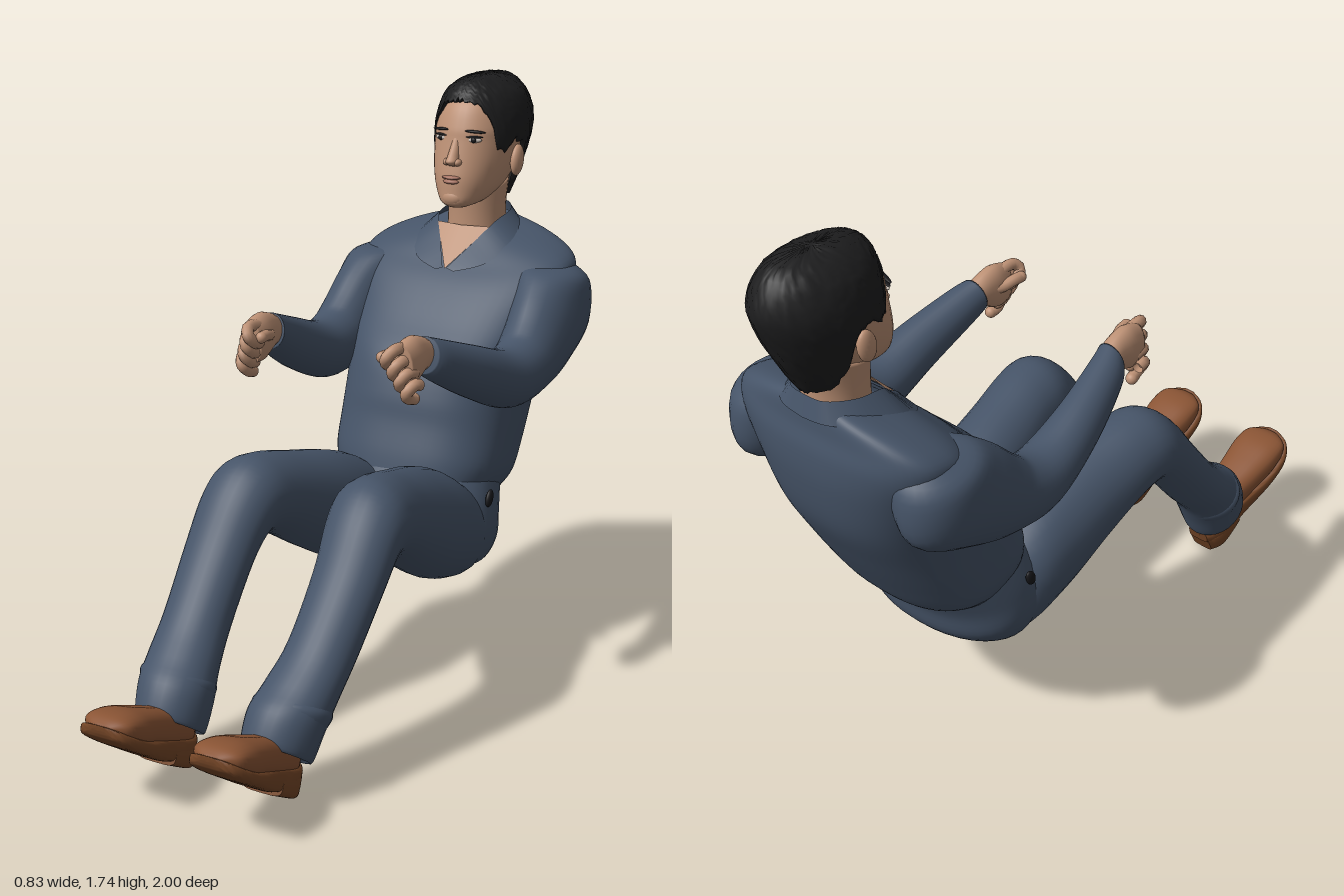
import * as THREE from 'three';
import { toCreasedNormals } from 'three/addons/utils/BufferGeometryUtils.js';

const mat = (name, color, side = THREE.FrontSide) => {
  const m = new THREE.MeshStandardMaterial({ color, side });
  m.name = name;
  return m;
};

// Catmull-Rom interpolation of rows of numbers
function smooth(rows, n) {
  const out = [], last = rows.length - 1;
  for (let i = 0; i < last; i++) {
    const [a, b, c, d] = [rows[Math.max(i - 1, 0)], rows[i], rows[i + 1], rows[Math.min(i + 2, last)]];
    for (let k = 0; k < n; k++) {
      const t = k / n;
      out.push(b.map((v, j) => {
        const cubic = 3 * (v - c[j]) + d[j] - a[j];
        const square = 2 * a[j] - 5 * v + 4 * c[j] - d[j];
        return v + 0.5 * t * (c[j] - a[j] + t * (square + t * cubic));
      }));
    }
  }
  out.push(rows[last]);
  return out;
}

// Indices for a grid of rings; wrap joins the last column to the first
function gridIndex(rings, cols, wrap) {
  const idx = [];
  for (let i = 0; i < rings - 1; i++) for (let j = 0; j < (wrap ? cols : cols - 1); j++) {
    const k = (j + 1) % cols, a = i * cols, b = a + cols;
    idx.push(a + j, a + k, b + k, a + j, b + k, b + j);
  }
  return idx;
}

function surface(pos, idx) {
  const g = new THREE.BufferGeometry();
  g.setAttribute('position', new THREE.Float32BufferAttribute(pos, 3));
  g.setIndex(idx);
  g.computeVertexNormals();
  return g;
}

// Closed loft. Row: centre x, half width, front edge z and y, back edge z and y
function loft(rows, { n = 5, seg = 28, power = 1, side = 1, crease = 0 } = {}) {
  const rings = smooth(rows, n), pos = [];
  const p = v => Math.sign(v) * Math.abs(v) ** power;
  for (const [x, w, zf, yf, zb, yb] of rings) for (let j = 0; j < seg; j++) {
    const a = j / seg * Math.PI * 2, c = p(Math.cos(a)), s = p(Math.sin(a));
    pos.push(side * x + w * c, (yf + yb) / 2 + (yf - yb) / 2 * s, (zf + zb) / 2 + (zf - zb) / 2 * s);
  }
  const idx = gridIndex(rings.length, seg, true), end = rings.length * seg;
  for (const r of [rings[0], rings.at(-1)]) pos.push(side * r[0], (r[3] + r[5]) / 2, (r[2] + r[4]) / 2);
  for (let j = 0; j < seg; j++) {
    const k = (j + 1) % seg, b = end - seg;
    idx.push(end, k, j, end + 1, b + j, b + k);
  }
  // Turn the faces outward when the loft runs the other way
  let vol = 0;
  const v = i => new THREE.Vector3().fromArray(pos, idx[i] * 3);
  for (let i = 0; i < idx.length; i += 3) vol += v(i).dot(v(i + 1).cross(v(i + 2)));
  if (vol < 0) idx.reverse();
  const g = surface(pos, idx);
  return crease ? toCreasedNormals(g, crease) : g;
}

export function createModel() {
  const root = new THREE.Group();
  root.name = 'seatedMan';
  const cloth = mat('blue cloth', 0x465468, THREE.DoubleSide), skin = mat('skin', 0xbd9175, THREE.DoubleSide);
  const hairMat = mat('black hair', 0x1d1d1e, THREE.DoubleSide), leather = mat('brown leather', 0x8b5535);
  const soleMat = mat('brown sole', 0x784828), lipMat = mat('lips', 0xa57362);
  const white = mat('eye white', 0xc9c0b8), dark = mat('dark detail', 0x17171a);
  const add = (name, g, m) => {
    const o = new THREE.Mesh(g, m);
    o.name = name;
    root.add(o);
    return o;
  };
  const blob = (name, m, x, y, z, sx, sy, sz) => {
    const o = add(name, new THREE.SphereGeometry(1, 20, 14), m);
    o.position.set(x, y, z);
    o.scale.set(sx, sy, sz);
    return o;
  };

  // Shirt body and seat of the trousers
  add('shirt', loft([
    [0, .245, -.23, .62, -.585, .51], [0, .272, -.245, .68, -.645, .56], [0, .278, -.275, .77, -.71, .66],
    [0, .28, -.295, .85, -.785, .79], [0, .29, -.34, .95, -.855, .93], [0, .318, -.43, 1.04, -.885, 1.07],
    [0, .345, -.525, 1.14, -.888, 1.17], [0, .33, -.59, 1.195, -.875, 1.235], [0, .24, -.635, 1.235, -.87, 1.285],
    [0, .1, -.68, 1.27, -.86, 1.32]], { seg: 56, power: .8 }), cloth);
  add('trouserSeat', loft([
    [0, .25, -.25, .66, -.6, .56], [0, .275, -.2, .58, -.545, .46], [0, .28, -.18, .5, -.52, .37],
    [0, .25, -.2, .41, -.45, .315], [0, .17, -.26, .35, -.36, .3]], { seg: 40, power: .9 }), cloth);
  blob('beltBuckle', dark, 0, .585, -.195, .028, .022, .012);

  // Skin in the open neck and the neck itself
  add('openNeck', surface([0, 1.18, -.557, .09, 1.295, -.68, 0, 1.295, -.662, -.09, 1.295, -.68],
    [0, 1, 2, 0, 2, 3]), skin);
  add('neck', loft([[0, .09, -.675, 1.24, -.86, 1.29], [0, .088, -.675, 1.32, -.86, 1.36],
    [0, .092, -.67, 1.4, -.88, 1.45]]), skin);

  for (const side of [1, -1]) {
    const tag = side > 0 ? 'left' : 'right';
    const part = (name, rows, m, opt = {}) => add(tag + name, loft(rows, { side, ...opt }), m);

    // Collar half, a strip from the neckline point round to the nape
    const strip = smooth([
      [.006, 1.183, -.555, .03, 1.175, -.555], [.055, 1.25, -.632, .115, 1.2, -.592],
      [.097, 1.31, -.7, .165, 1.25, -.685], [.102, 1.33, -.79, .15, 1.275, -.8],
      [.06, 1.34, -.862, .085, 1.285, -.876], [0, 1.34, -.872, 0, 1.28, -.888]], 5);
    add(tag + 'Collar', surface(strip.flatMap(r => [side * r[0], r[1], r[2], side * r[3], r[4], r[5]]),
      gridIndex(strip.length, 2, false)), cloth);

    // Sleeve
    part('Sleeve', [
      [.25, .08, -.66, 1.2, -.8, 1.2], [.286, .108, -.59, 1.19, -.845, 1.13], [.303, .108, -.52, 1.14, -.825, .99],
      [.312, .1, -.45, 1.07, -.68, .91], [.315, .092, -.4, 1.035, -.53, .86], [.31, .086, -.32, 1.03, -.35, .845],
      [.295, .07, -.18, 1.075, -.15, .925], [.265, .055, -.03, 1.125, .005, 1.01],
      [.25, .046, .02, 1.142, .04, 1.04]], cloth);

    // Hand with curled fingers and thumb
    part('Palm', [[.248, .034, 0, 1.125, .02, 1.05], [.244, .036, .05, 1.15, .05, 1.045],
      [.243, .04, .1, 1.16, .1, 1.02], [.243, .034, .15, 1.145, .14, 1.02]], skin, { seg: 18 });
    const finger = (name, pts, r) => {
      const curve = new THREE.CatmullRomCurve3(pts.map(([x, y, z]) => new THREE.Vector3(side * x, y, z)));
      add(tag + name, new THREE.TubeGeometry(curve, 12, r, 10), skin);
      const tip = pts.at(-1);
      blob(tag + name + 'Tip', skin, side * tip[0], tip[1], tip[2], r, r, r);
    };
    for (let i = 0; i < 4; i++) {
      const x = .225 + i * .015, y = 1.13 - i * .033, z = .185 - i * .012;
      finger('Finger' + (i + 1), [[x + .01, y, .11], [x + .008, y + .004, z - .012], [x - .004, y - .014, z + .006],
        [x - .012, y - .035, z - .014], [x - .008, y - .043, z - .04]], .0175);
    }
    finger('Thumb', [[.235, 1.1, .06], [.21, 1.1, .1], [.197, 1.11, .14], [.194, 1.11, .165]], .0165);

    // Trouser leg
    part('TrouserLeg', [
      [.14, .1, -.32, .6, -.44, .42], [.145, .138, -.22, .665, -.36, .305], [.15, .142, -.1, .71, -.18, .335],
      [.168, .13, .04, .745, 0, .43], [.188, .122, .17, .775, .12, .505], [.198, .12, .26, .772, .2, .54],
      [.205, .114, .34, .71, .245, .54], [.21, .105, .44, .575, .3, .49], [.203, .1, .57, .415, .42, .345],
      [.19, .106, .66, .335, .51, .245], [.178, .11, .725, .285, .555, .17], [.172, .1, .765, .215, .595, .09],
      [.172, .085, .755, .2, .61, .1]], cloth);
    part('TrouserFold', [[.188, .098, .665, .318, .53, .225], [.184, .114, .7, .305, .54, .2],
      [.178, .1, .72, .265, .565, .16]], cloth);
    blob(tag + 'Pocket', dark, side * .276, .56, -.34, .01, .027, .016).rotation.x = -.4;

    // Shoe
    part('ShoeUpper', [
      [.17, .035, .612, .13, .618, .075], [.17, .06, .66, .19, .665, .08], [.17, .064, .75, .225, .75, .115],
      [.172, .074, .83, .258, .825, .15], [.172, .082, .9, .283, .9, .18], [.172, .073, .955, .287, .96, .225],
      [.171, .03, .99, .274, .992, .25]], leather, { power: .8 });
    part('ShoeSole', [
      [.17, .035, .604, .09, .615, .05], [.17, .062, .65, .105, .672, .05], [.17, .064, .75, .145, .775, .082],
      [.172, .084, .86, .19, .875, .146], [.172, .088, .935, .232, .947, .197], [.172, .065, .982, .265, .99, .235],
      [.171, .02, 1, .276, 1, .262]], soleMat, { power: .45, crease: .7 });
    part('ShoeHeel', [[.17, .036, .608, .075, .643, .001], [.17, .062, .65, .09, .678, .018],
      [.17, .063, .73, .13, .757, .062]], soleMat, { power: .45, crease: .7 });

    // Ear, eye and brow
    blob(tag + 'Ear', skin, side * .129, 1.49, -.775, .018, .048, .03).rotation.x = -.2;
    blob(tag + 'EyeWhite', white, side * .055, 1.565, -.632, .023, .008, .008).rotation.y = side * .3;
    blob(tag + 'Iris', dark, side * .055, 1.565, -.627, .009, .0085, .006);
    blob(tag + 'UpperLid', dark, side * .055, 1.574, -.631, .027, .0035, .008).rotation.y = side * .3;
    const brow = blob(tag + 'Brow', dark, side * .058, 1.59, -.632, .032, .0045, .007);
    brow.rotation.set(0, side * .32, side * -.06);
    blob(tag + 'NoseWing', skin, side * .018, 1.499, -.598, .012, .011, .015);
  }

  // Head, nose and lips
  add('head', loft([
    [0, .03, -.605, 1.36, -.67, 1.36], [0, .062, -.587, 1.375, -.76, 1.375], [0, .09, -.587, 1.41, -.84, 1.41],
    [0, .107, -.59, 1.45, -.89, 1.45], [0, .12, -.6, 1.5, -.93, 1.5], [0, .126, -.613, 1.56, -.96, 1.56],
    [0, .126, -.622, 1.6, -.965, 1.6], [0, .108, -.65, 1.66, -.95, 1.66], [0, .072, -.7, 1.7, -.9, 1.7],
    [0, .025, -.77, 1.715, -.83, 1.715]], { seg: 40, power: .95 }), skin);
  add('nose', loft([[0, .012, -.618, 1.575, -.65, 1.575], [0, .014, -.604, 1.55, -.64, 1.55],
    [0, .018, -.584, 1.518, -.63, 1.515], [0, .019, -.573, 1.501, -.62, 1.497],
    [0, .012, -.59, 1.488, -.62, 1.485]], { seg: 16 }), skin);
  blob('upperLip', lipMat, 0, 1.453, -.592, .031, .006, .014);
  blob('lowerLip', lipMat, 0, 1.441, -.591, .026, .0075, .014);
  blob('chin', skin, 0, 1.39, -.605, .035, .026, .022);

  // Hair: profile rows are y, half width, front z, back z; hairline rows are angle, y
  const profile = smooth([[1.742, .012, -.79, -.835], [1.734, .048, -.71, -.915], [1.715, .082, -.668, -.955],
    [1.68, .115, -.64, -.982], [1.62, .136, -.622, -1], [1.55, .138, -.615, -.98],
    [1.45, .119, -.6, -.935], [1.34, .09, -.6, -.872]], 8);
  const line = [[0, 1.68], [28, 1.667], [42, 1.615], [52, 1.535], [64, 1.525], [76, 1.56], [95, 1.535],
    [110, 1.43], [130, 1.375], [180, 1.35]];
  const lookup = (rows, k, dir) => {
    let i = 1;
    while (i < rows.length - 1 && dir * (rows[i][0] - k) < 0) i++;
    const [a, b] = [rows[i - 1], rows[i]], t = (k - a[0]) / (b[0] - a[0]);
    return a.map((v, j) => v + (b[j] - v) * t);
  };
  let seed = 7;
  const rand = () => (seed = seed * 16807 % 2147483647) / 2147483647;
  const cols = 96, steps = 22, hair = [];
  const jag = Array.from({ length: cols }, () => (rand() - .5) * .014);
  for (let i = 0; i <= steps + 1; i++) for (let j = 0; j < cols; j++) {
    const a = j / cols * Math.PI * 2, deg = 180 - Math.abs(180 - j / cols * 360);
    const low = lookup(line, deg, 1)[1] + jag[j], t = Math.min(i / steps, 1);
    const y = 1.742 + (low - 1.742) * t ** 1.5;
    const [, w, zf, zb] = lookup(profile, y, -1);
    // The last ring folds in to meet the head
    const s = i > steps ? .86 : 1 + (rand() - .5) * .022;
    hair.push(s * w * Math.sin(a), y + (rand() - .5) * .004, (zf + zb) / 2 + s * (zf - zb) / 2 * Math.cos(a));
  }
  const hairIdx = gridIndex(steps + 2, cols, true).reverse();
  hair.push(0, 1.744, -.813);
  for (let j = 0; j < cols; j++) hairIdx.push(hair.length / 3 - 1, j, (j + 1) % cols);
  add('hair', surface(hair, hairIdx), hairMat);

  return root;
}
